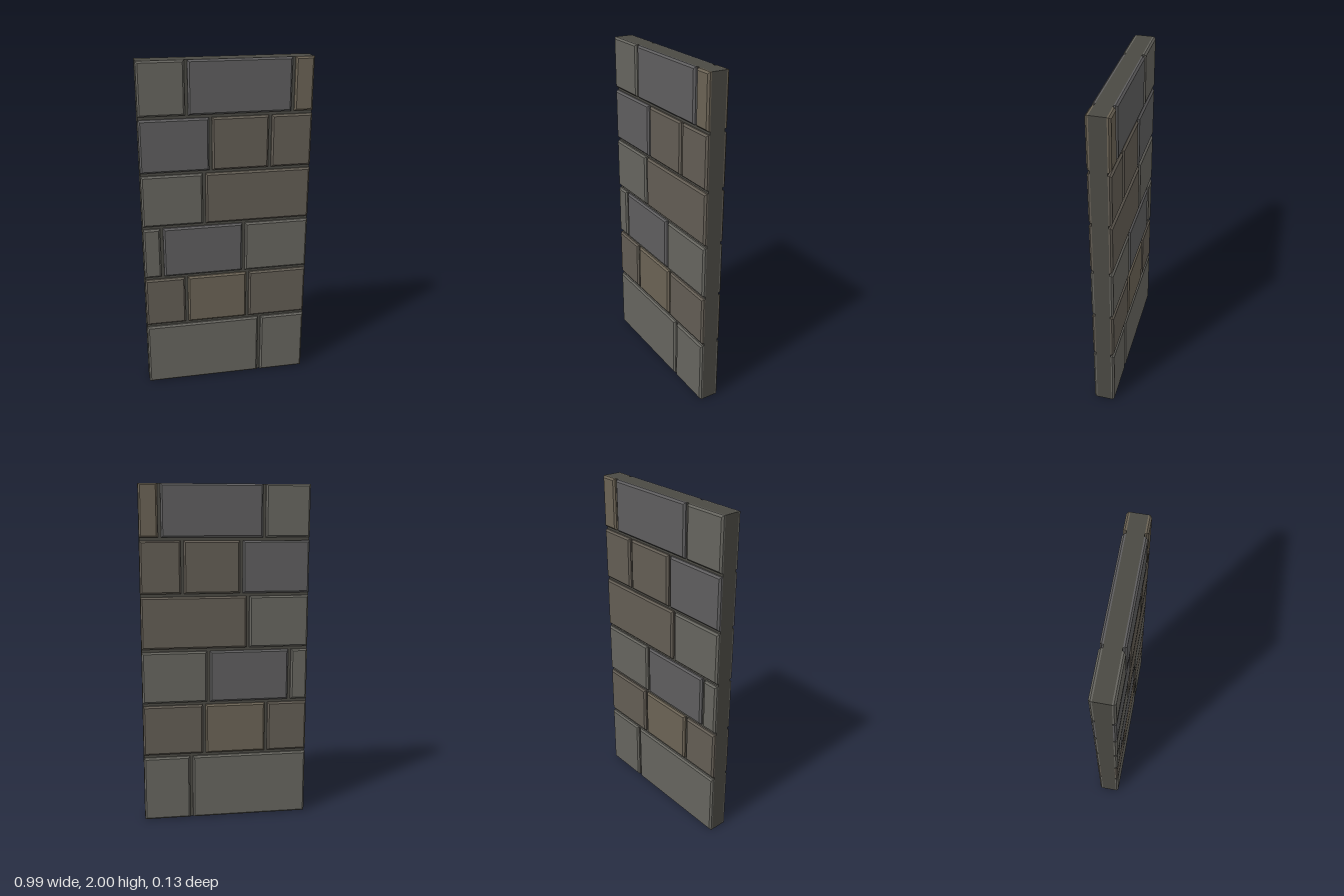
import * as THREE from 'three';

const HALF_W = 0.496, CORE_Z = 0.045, STEP = 0.009, BEVEL = 0.01, GAP = 0.018;

const COLORS = { grey: 0x65645e, slate: 0x5e5d5e, brown: 0x625c53, tan: 0x6a6254 };

// Courses from bottom to top: upper joint height, vertical joints, stone colours
const COURSES = [
  { top: 0.4, joints: [0.21], stones: ['grey', 'grey'] },
  { top: 0.72, joints: [-0.248, 0.13], stones: ['brown', 'tan', 'brown'] },
  { top: 1.045, joints: [-0.388, 0.103], stones: ['grey', 'slate', 'grey'] },
  { top: 1.368, joints: [-0.133], stones: ['grey', 'brown'] },
  { top: 1.69, joints: [-0.093, 0.252], stones: ['slate', 'brown', 'brown'] },
  { top: 2, joints: [-0.226, 0.38], stones: ['grey', 'slate', 'tan'] },
];

// Chamfered slab; its rear chamfer is sunk into the core
function stoneGeometry(x0, x1, y0, y1) {
  const shape = new THREE.Shape([
    new THREE.Vector2(x0, y0), new THREE.Vector2(x1, y0),
    new THREE.Vector2(x1, y1), new THREE.Vector2(x0, y1),
  ]);
  return new THREE.ExtrudeGeometry(shape, {
    depth: STEP, bevelEnabled: true, bevelSegments: 1,
    bevelSize: BEVEL, bevelThickness: BEVEL, bevelOffset: -BEVEL,
  });
}

export function createModel() {
  const wall = new THREE.Group();
  wall.name = 'stoneWall';

  const materials = {};
  for (const [name, color] of Object.entries(COLORS)) {
    materials[name] = new THREE.MeshStandardMaterial({ color });
  }

  // Mortar core, visible in the joints and along the edges
  const core = new THREE.Mesh(
    new THREE.BoxGeometry(HALF_W * 2, 2, CORE_Z * 2),
    new THREE.MeshStandardMaterial({ color: 0x4a4943 }),
  );
  core.name = 'mortarCore';
  core.position.y = 1;
  wall.add(core);

  // Stones on both faces, inset by half a joint except at the outer edges
  let bottom = 0;
  COURSES.forEach(({ top, joints, stones }, row) => {
    const course = new THREE.Group();
    course.name = `course${row + 1}`;
    const edges = [-HALF_W, ...joints, HALF_W];
    const y0 = row === 0 ? 0 : bottom + GAP / 2;
    const y1 = row === COURSES.length - 1 ? 2 : top - GAP / 2;
    stones.forEach((stone, i) => {
      const x0 = edges[i] + (i === 0 ? 0 : GAP / 2);
      const x1 = edges[i + 1] - (i === stones.length - 1 ? 0 : GAP / 2);
      const geometry = stoneGeometry(x0, x1, y0, y1);
      for (const [side, z] of [['front', CORE_Z], ['back', -CORE_Z - STEP]]) {
        const mesh = new THREE.Mesh(geometry, materials[stone]);
        mesh.name = `${side}Stone${i + 1}`;
        mesh.position.z = z;
        course.add(mesh);
      }
    });
    wall.add(course);
    bottom = top;
  });

  return wall;
}
